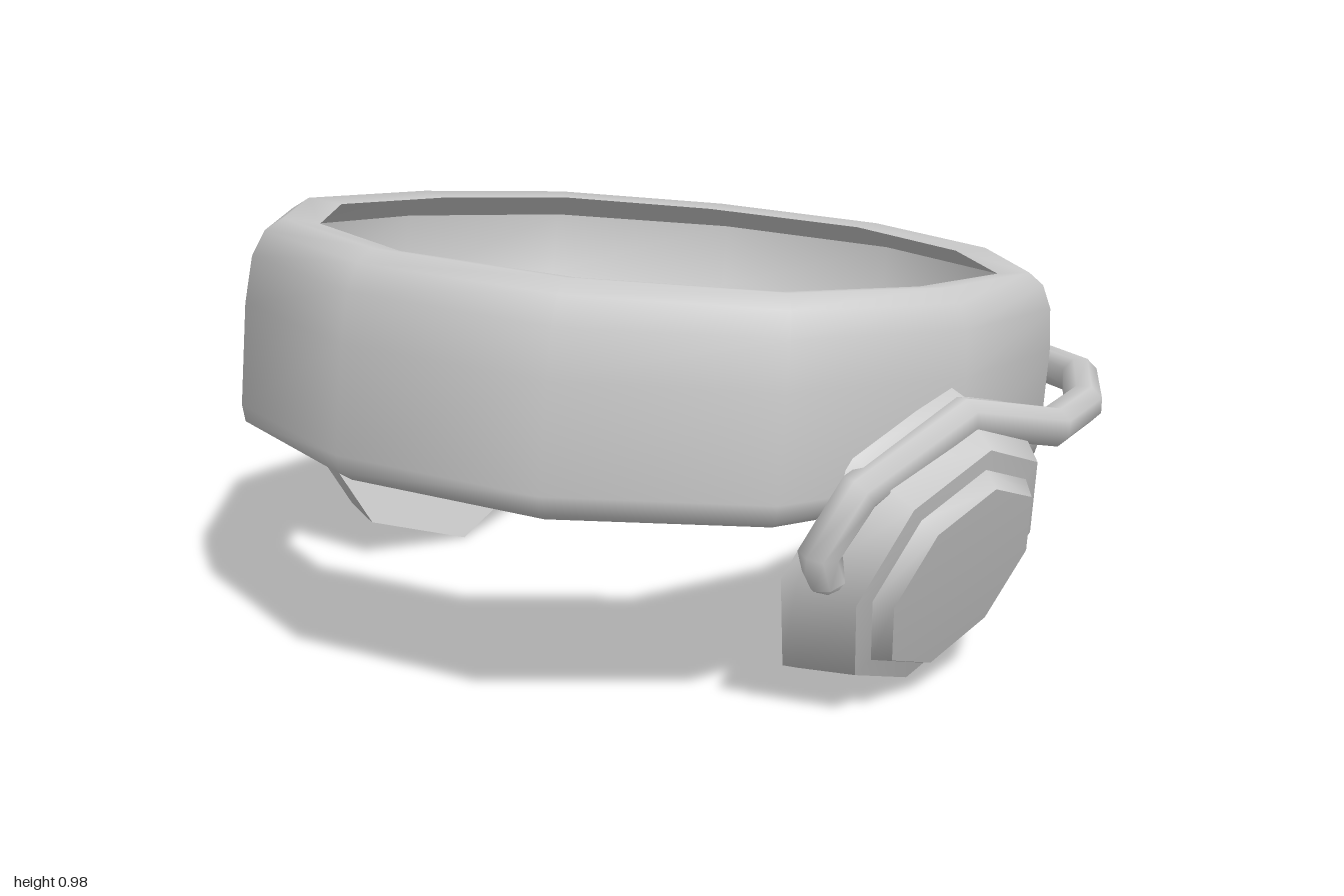
import * as THREE from 'three';
import { toCreasedNormals } from 'three/addons/utils/BufferGeometryUtils.js';

const material = new THREE.MeshStandardMaterial({ color: 0xcccccc });

function addMesh(parent, name, geometry) {
  const mesh = new THREE.Mesh(geometry, material);
  mesh.name = name;
  parent.add(mesh);
  return mesh;
}

// Half outlines run from front to back; mirroring completes the twelve-sided ring
const mirrorOutline = (half) => [...half, ...half.slice(1, -1).reverse().map(([x, z]) => [-x, z])];

function bandGeometry() {
  const outer = mirrorOutline([[0, 0.97], [0.48, 0.855], [0.81, 0.525], [0.895, 0.05], [0.8, -0.41], [0.46, -0.73], [0, -0.855]]);
  const inner = mirrorOutline([[0, 0.825], [0.405, 0.715], [0.695, 0.425], [0.755, 0.05], [0.695, -0.325], [0.4, -0.58], [0, -0.705]]);
  // Cross-section: [inset 0..1 from outer to inner, height 0..1];
  // the wall is thin, with a sloping lip at the bottom and a rim at the top
  const section = [[0.3, 0], [0.06, 0.04], [0, 0.12], [0, 0.6], [0.07, 0.82], [0.23, 0.94], [0.48, 1], [1, 0.98],
    [0.1, 0.84], [0.08, 0.46], [0.5, 0.22], [1, 0.07], [0.85, 0.01]];
  const n = outer.length, m = section.length;
  const positions = [], index = [];
  for (let i = 0; i < n; i++) {
    for (const [s, h] of section) {
      const x = THREE.MathUtils.lerp(outer[i][0], inner[i][0], s);
      const z = THREE.MathUtils.lerp(outer[i][1], inner[i][1], s);
      const bottom = 0.448 + 0.07 * z, top = 0.89 + 0.112 * z;
      positions.push(x, THREE.MathUtils.lerp(bottom, top, h), z - 0.05 * (h - 0.4));
    }
  }
  for (let i = 0; i < n; i++) {
    for (let j = 0; j < m; j++) {
      const i2 = (i + 1) % n, j2 = (j + 1) % m;
      const a = i * m + j, b = i2 * m + j, c = i2 * m + j2, d = i * m + j2;
      index.push(a, b, c, a, c, d);
    }
  }
  const geometry = new THREE.BufferGeometry();
  geometry.setAttribute('position', new THREE.Float32BufferAttribute(positions, 3));
  geometry.setIndex(index);
  return toCreasedNormals(geometry, 1);
}

// Eight-sided ear cup: wide flat inner face, tapering outwards to a stepped cap
function earCupGeometry() {
  const profile = [[0, 0], [0.37, 0], [0.355, 0.03], [0.295, 0.14], [0.25, 0.145], [0.225, 0.182], [0, 0.19]]
    .map(([r, y]) => new THREE.Vector2(r, y));
  const geometry = new THREE.LatheGeometry(profile, 8);
  geometry.scale(1, 1, 1.05);
  return toCreasedNormals(geometry, 0.82);
}

export function createModel() {
  const model = new THREE.Group();
  model.name = 'headset';

  addMesh(model, 'headBand', bandGeometry());

  // Ear cups lean so that their lower edges point inwards
  const cup = earCupGeometry();
  for (const side of [1, -1]) {
    const mesh = addMesh(model, side > 0 ? 'leftEarCup' : 'rightEarCup', cup);
    mesh.position.set(side * 0.762, 0.358, 0.08);
    mesh.rotation.z = -side * THREE.MathUtils.degToRad(109.3);
  }

  // Neck wire: hooks over each cup and runs around the back
  const half = [[0.825, 0.36, 0.4], [0.83, 0.42, 0.43], [0.87, 0.54, 0.36], [0.915, 0.645, 0.08], [0.885, 0.535, -0.31],
    [0.808, 0.52, -0.56], [0.655, 0.515, -0.785], [0.355, 0.51, -0.907], [0, 0.51, -0.94]];
  const path = [...half, ...half.slice(0, -1).reverse().map(([x, y, z]) => [-x, y, z])]
    .map((p) => new THREE.Vector3(...p));
  const curve = new THREE.CatmullRomCurve3(path);
  // Sample exactly at the path points to keep the faceted bends
  curve.getPointAt = (u, target) => curve.getPoint(u, target);
  curve.getTangentAt = (u, target) => curve.getTangent(u, target);
  addMesh(model, 'neckWire', new THREE.TubeGeometry(curve, path.length - 1, 0.046, 8));

  // Rounded wire ends
  for (const side of [1, -1]) {
    const tip = addMesh(model, side > 0 ? 'leftWireTip' : 'rightWireTip', new THREE.SphereGeometry(0.045, 8, 6));
    tip.position.set(side * 0.825, 0.365, 0.4);
  }
  return model;
}
